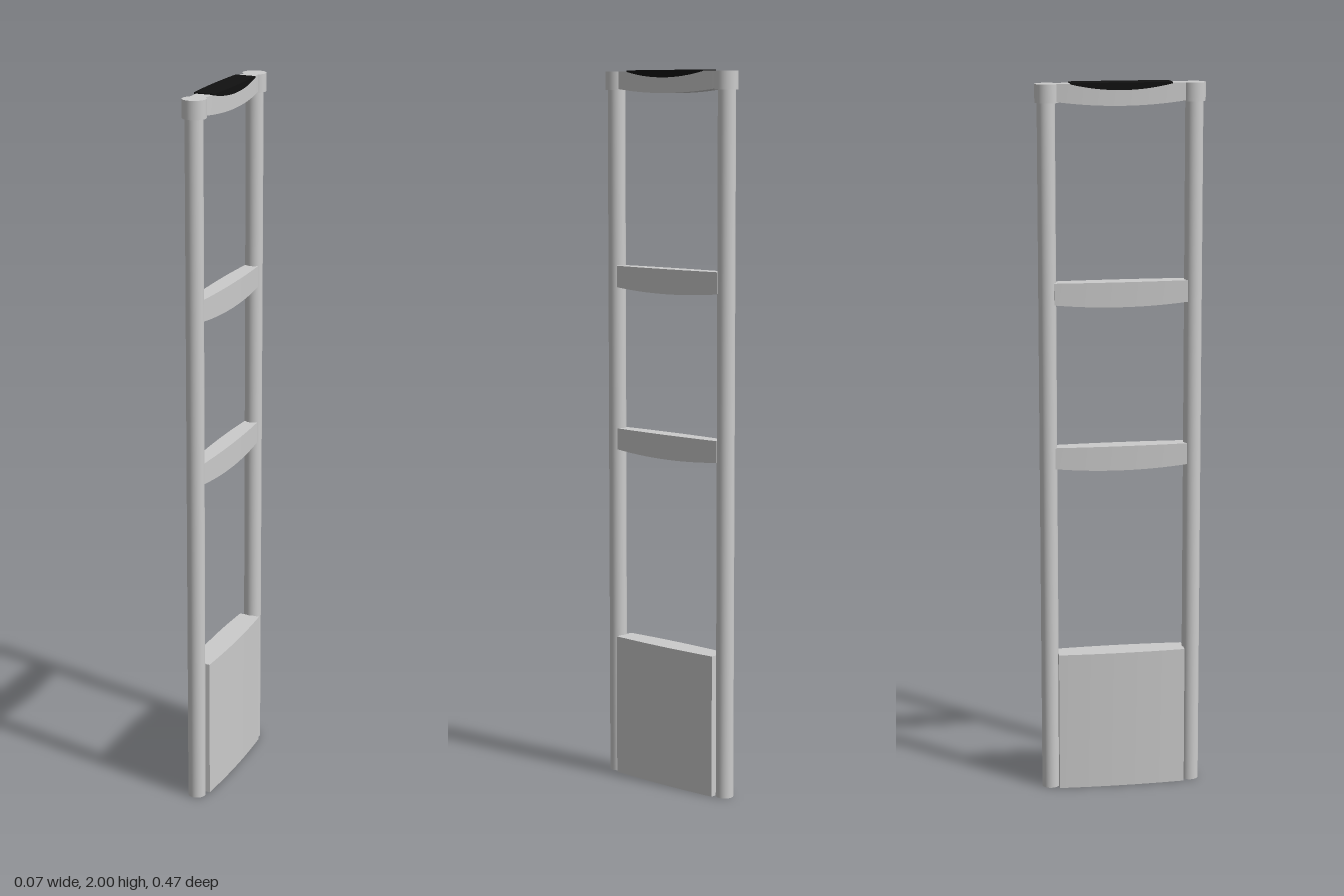
import * as THREE from 'three';

const grey = new THREE.MeshStandardMaterial({ color: 0xcccccc });
const black = new THREE.MeshStandardMaterial({ color: 0x111111 });

// Bar along z whose sides bow outwards and whose underside sags in the middle
function bowedBar(name, { length, top, bottom, sag = 0, endWidth, midWidth, material = grey }) {
  const geo = new THREE.BoxGeometry(2, 1, 2, 1, 1, 16);
  const p = geo.attributes.position;
  for (let i = 0; i < p.count; i++) {
    const t = p.getZ(i);
    const bow = 1 - t * t;
    const x = p.getX(i) * (endWidth + (midWidth - endWidth) * bow);
    const y = p.getY(i) > 0 ? top : bottom - sag * bow;
    p.setXYZ(i, x, y, t * length / 2);
  }
  geo.computeVertexNormals();
  const mesh = new THREE.Mesh(geo, material);
  mesh.name = name;
  return mesh;
}

function upright(name, radius, bottom, top, z) {
  const geo = new THREE.CylinderGeometry(radius, radius, top - bottom, 32);
  const mesh = new THREE.Mesh(geo, grey);
  mesh.position.set(0, (top + bottom) / 2, z);
  mesh.name = name;
  return mesh;
}

export function createModel() {
  const group = new THREE.Group();
  group.name = 'securityGate';

  // Round posts with wider caps, front and back
  for (const [side, s] of [['front', 1], ['back', -1]]) {
    group.add(upright(side + 'Post', 0.0245, 0, 1.96, s * 0.202));
    group.add(upright(side + 'PostCap', 0.0325, 1.947, 1.997, s * 0.2));
  }

  // Base panel
  group.add(bowedBar('basePanel', {
    length: 0.36, top: 0.4, bottom: 0, endWidth: 0.03, midWidth: 0.036,
  }));

  // Two cross bars, reaching into the posts
  for (const [name, top] of [['lowerCrossBar', 1.0], ['upperCrossBar', 1.46]]) {
    group.add(bowedBar(name, {
      length: 0.37, top, bottom: top - 0.06, sag: 0.009, endWidth: 0.019, midWidth: 0.025,
    }));
  }

  // Top bar with the dark signal pad set into it
  group.add(bowedBar('topBar', {
    length: 0.36, top: 1.997, bottom: 1.95, sag: 0.012, endWidth: 0.02, midWidth: 0.029,
  }));
  group.add(bowedBar('signalPad', {
    length: 0.275, top: 2.0, bottom: 1.996, sag: 0.016, endWidth: 0.029, midWidth: 0.033, material: black,
  }));

  return group;
}
